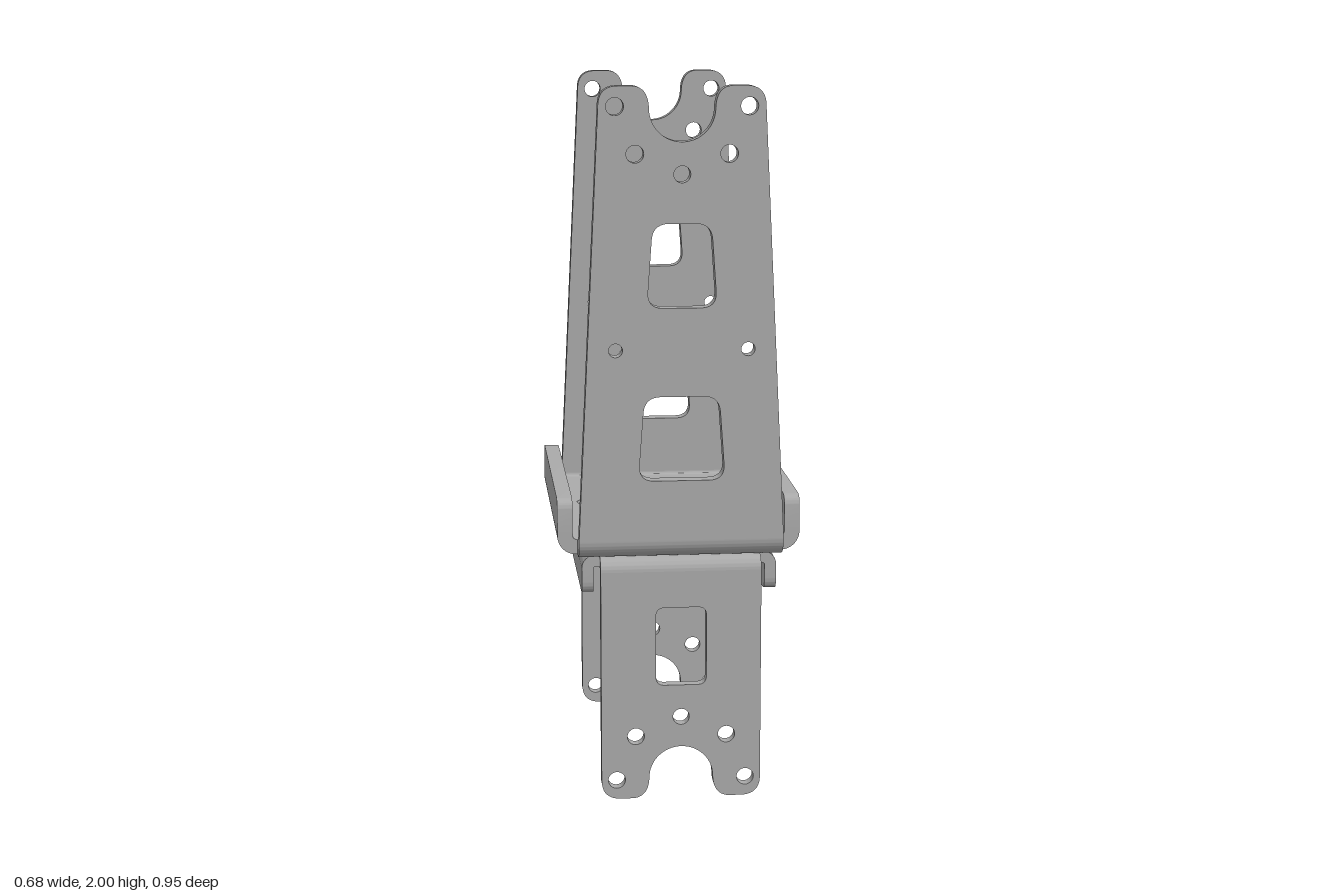
import * as THREE from 'three';
import { toCreasedNormals } from 'three/addons/utils/BufferGeometryUtils.js';

const metal = new THREE.MeshStandardMaterial({ color: 0xaaaaaa });
metal.name = 'grey metal';

const extrude = (shape, depth) => toCreasedNormals(
  new THREE.ExtrudeGeometry(shape, { depth, bevelEnabled: false, curveSegments: 16 }), 0.6);

function add(parent, name, geometry) {
  const mesh = new THREE.Mesh(geometry, metal);
  mesh.name = name;
  parent.add(mesh);
}

// Polygon with rounded corners; each point is [x, y, radius]
function rounded(points, Type = THREE.Shape) {
  const path = new Type();
  const n = points.length;
  points.forEach(([x, y, r], i) => {
    const corner = new THREE.Vector2(x, y);
    const toward = ([px, py]) => new THREE.Vector2(px, py).sub(corner).setLength(r).add(corner);
    const a = toward(points[(i + n - 1) % n]), b = toward(points[(i + 1) % n]);
    if (i) path.lineTo(a.x, a.y); else path.moveTo(a.x, a.y);
    if (r) path.quadraticCurveTo(x, y, b.x, b.y);
  });
  path.closePath();
  return path;
}

function circle(x, y, r) {
  const path = new THREE.Path();
  path.absarc(x, y, r, 0, Math.PI * 2, true);
  return path;
}

// Quarter-round sheet bend along x, from the base up into a wall whose outer face is at z = reach
function bend(reach, R, t, x0, x1) {
  const s = new THREE.Shape();
  s.absarc(reach - R, R, R, -Math.PI / 2, 0, false);
  s.absarc(reach - R, R, R - t, 0, -Math.PI / 2, true);
  s.closePath();
  return extrude(s, x1 - x0).rotateY(-Math.PI / 2).translate(x1, 0, 0);
}

// Tall arm with a forked tip, bolt holes and windows
function armShape(o) {
  const { R, H, w0, w1 } = o;
  const s = new THREE.Shape();
  s.moveTo(-w0, R);
  s.lineTo(w0, R);
  s.lineTo(w1, H - 0.055);
  s.quadraticCurveTo(w1, H, w1 - 0.055, H);
  s.lineTo(0.14, H);
  s.quadraticCurveTo(0.092, H, 0.09, H - 0.06);
  s.absarc(0, H - 0.06, 0.09, 0, Math.PI, true);
  s.quadraticCurveTo(-0.092, H, -0.14, H);
  s.lineTo(-w1 + 0.055, H);
  s.quadraticCurveTo(-w1, H, -w1, H - 0.055);
  s.closePath();
  s.holes.push(circle(0, H - 0.237, 0.023));
  for (const m of [-1, 1]) {
    s.holes.push(circle(m * 0.182, H - 0.055, 0.024), circle(m * 0.128, H - 0.182, 0.024));
    if (o.pinHeight) s.holes.push(circle(m * 0.182, o.pinHeight, 0.019));
  }
  for (const [y0, y1, a, b, r] of o.windows)
    s.holes.push(rounded([[-a, y0, r], [-b, y1, r], [b, y1, r], [a, y0, r]], THREE.Path));
  return s;
}

// U-shaped bracket opening upward, with the base underside on y = 0
function bracket(o) {
  const g = new THREE.Group();
  g.name = o.name;
  const { R, t, reachZ, reachX, w0, flangeZ, slot } = o;
  const bz = reachZ - R, bx = reachX - R;

  // Base plate, widened between the side flanges and relieved beside any slot
  const side = [[w0, -bz], [w0, -flangeZ], [bx, -flangeZ]];
  if (slot) side.push([bx, -slot], [0.214, -slot], [0.214, slot], [bx, slot]);
  side.push([bx, flangeZ], [w0, flangeZ], [w0, bz]);
  const outline = [...side, ...side.map(([x, y]) => [-x, -y])];
  const base = new THREE.Shape(outline.map(([x, y]) => new THREE.Vector2(x, y)));
  base.holes.push(circle(0, 0, o.bore));
  for (let k = 0; k < 4; k++) {
    const c = Math.round(Math.cos(k * Math.PI / 2)), s = Math.round(Math.sin(k * Math.PI / 2));
    for (const [x, y, r] of o.ring) base.holes.push(circle(x * c - y * s, x * s + y * c, r));
  }
  for (const [x, y, r] of o.corners)
    for (const m of [-1, 1]) base.holes.push(circle(x * m, y, r), circle(x * m, -y, r));
  add(g, 'basePlate', extrude(base, t).rotateX(-Math.PI / 2));

  // Front and back arms
  const arm = armShape(o);
  for (const [name, turn] of [['frontArm', 0], ['backArm', Math.PI]]) {
    const a = new THREE.Group();
    a.name = name;
    a.rotation.y = turn;
    add(a, 'armPlate', extrude(arm, t).translate(0, 0, reachZ - t));
    add(a, 'armBend', bend(reachZ, R, t, -w0, w0));
    g.add(a);
  }

  // Left and right stiffening flanges
  const flange = rounded([[-flangeZ, R, 0], [flangeZ, R, 0],
    [flangeZ, o.flangeH, 0.035], [-flangeZ, o.flangeH, 0.035]]);
  for (const [name, turn] of [['leftFlange', 1], ['rightFlange', -1]]) {
    const f = new THREE.Group();
    f.name = name;
    f.rotation.y = turn * Math.PI / 2;
    add(f, 'flangePlate', extrude(flange, t).translate(0, 0, reachX - t));
    const spans = slot ? [[-flangeZ, -slot], [slot, flangeZ]] : [[-flangeZ, flangeZ]];
    for (const [a, b] of spans) add(f, 'flangeBend', bend(reachX, R, t, a, b));
    g.add(f);
  }
  return g;
}

export function createModel() {
  const model = new THREE.Group();
  model.name = 'bracketPair';

  const upper = bracket({
    name: 'upperBracket', R: 0.053, t: 0.043, reachZ: 0.476, reachX: 0.341,
    w0: 0.285, w1: 0.227, H: 1.302, flangeZ: 0.397, flangeH: 0.156, bore: 0.091,
    pinHeight: 0.587,
    windows: [[0.222, 0.457, 0.12, 0.103, 0.045], [0.702, 0.932, 0.096, 0.08, 0.045]],
    ring: [[0.182, 0, 0.024], [0.227, 0.068, 0.024], [0.227, -0.068, 0.032]],
    corners: [[0.182, 0.137, 0.029]],
  });
  upper.position.y = 0.698;

  // The lower bracket hangs upside down beneath the upper one
  const lower = bracket({
    name: 'lowerBracket', R: 0.038, t: 0.033, reachZ: 0.464, reachX: 0.274,
    w0: 0.225, w1: 0.225, H: 0.697, flangeZ: 0.408, flangeH: 0.112, bore: 0.1,
    slot: 0.125,
    windows: [[0.142, 0.367, 0.071, 0.071, 0.025]],
    ring: [[0.182, 0, 0.024], [0.183, 0.075, 0.026], [0.128, 0.128, 0.024]],
    corners: [],
  });
  lower.rotation.z = Math.PI;
  lower.position.y = 0.697;

  model.add(upper, lower);
  return model;
}
